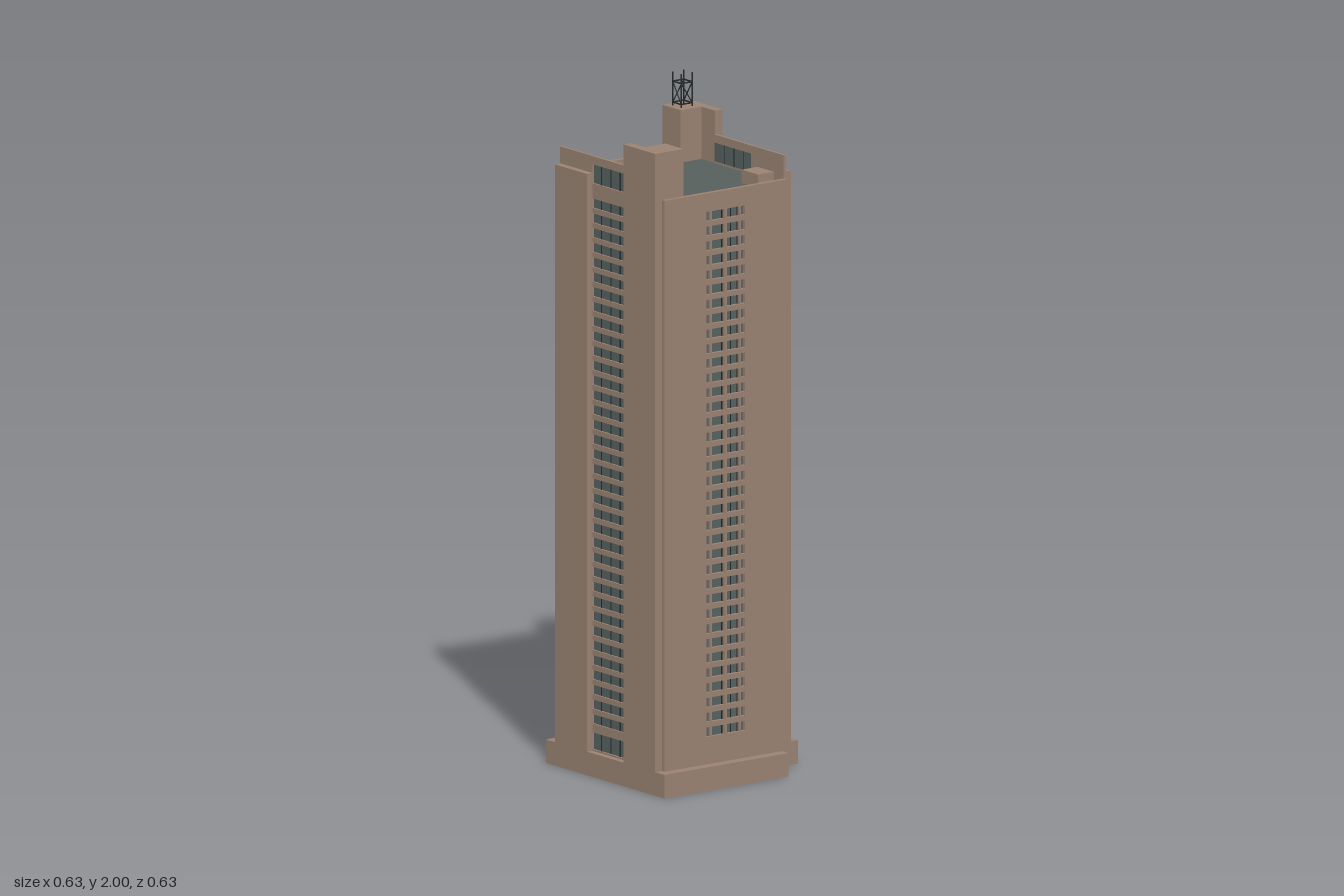
import * as THREE from 'three';
import { mergeGeometries } from 'three/addons/utils/BufferGeometryUtils.js';

const material = (name, color) => Object.assign(new THREE.MeshStandardMaterial({ color }), { name });

// Box given by its limits on each axis
function box(x0, x1, y0, y1, z0, z1) {
  return new THREE.BoxGeometry(x1 - x0, y1 - y0, z1 - z0)
    .translate((x0 + x1) / 2, (y0 + y1) / 2, (z0 + z1) / 2);
}

// Thin square bar between two points
function bar(a, b, t) {
  const p = new THREE.Vector3(...a), d = new THREE.Vector3(...b).sub(p);
  const g = new THREE.BoxGeometry(t, d.length(), t).translate(0, d.length() / 2, 0);
  g.applyQuaternion(new THREE.Quaternion().setFromUnitVectors(new THREE.Vector3(0, 1, 0), d.normalize()));
  return g.translate(p.x, p.y, p.z);
}

export function createModel() {
  const stone = material('stone', 0x9a8272);
  const glass = material('glass', 0x566260);
  const roofing = material('roofing', 0x565f5c);
  const steel = material('steel', 0x23292b);

  const model = new THREE.Group();
  model.name = 'tower';
  const site = new THREE.Group();
  site.name = 'turnedBuilding';
  site.rotation.y = 0.14;
  model.add(site);

  const add = (parent, name, mat, ...geos) => {
    const mesh = new THREE.Mesh(geos.length > 1 ? mergeGeometries(geos) : geos[0], mat);
    mesh.name = name;
    parent.add(mesh);
    return mesh;
  };

  // Base slab with one notched corner
  const BASE = 0.07, ROOF = 1.745;
  const outline = new THREE.Shape([
    [-0.278, -0.28], [0.172, -0.28], [0.172, -0.167], [0.293, -0.167], [0.293, 0.28], [-0.278, 0.28],
  ].map(([x, y]) => new THREE.Vector2(x, y)));
  add(site, 'baseSlab', stone,
    new THREE.ExtrudeGeometry(outline, { depth: BASE, bevelEnabled: false }).rotateX(-Math.PI / 2));

  const shaft = new THREE.Group();
  shaft.name = 'shaft';
  shaft.position.x = -0.032;
  site.add(shaft);
  add(shaft, 'core', stone, box(-0.219, 0.219, BASE, 1.74, -0.236, 0.236));
  add(shaft, 'roof', roofing, box(-0.219, 0.219, 1.74, ROOF, -0.236, 0.236));

  // Window rows, as [bottom, top]
  const rows = Array.from({ length: 36 }, (_, i) => {
    const y = 0.165 + i * 0.0436;
    return [y - 0.014, y + 0.014];
  });
  // Solid strips left between the openings
  const strips = (openings, bottom, top) => {
    const edges = [bottom, ...openings.flat(), top];
    return openings.concat([0]).map((_, i) => [edges[2 * i], edges[2 * i + 1]]);
  };

  // The shaft repeats after half a turn
  for (let k = 0; k < 2; k++) {
    const half = new THREE.Group();
    half.name = k ? 'backHalf' : 'frontHalf';
    half.rotation.y = k * Math.PI;
    shaft.add(half);

    // Wide wall with a central column of windows
    const z0 = 0.236, z1 = 0.25, W = 0.07;
    add(half, 'wideWall', stone,
      box(-0.222, -W, BASE, 1.76, z0, z1),
      box(W, 0.224, BASE, 1.76, z0, z1),
      ...strips(rows, BASE, 1.76).map(([a, b]) => box(-W, W, a, b, z0, z1)));
    add(half, 'wideWallMullions', stone,
      box(-0.005, 0.005, 0.15, 1.71, z0, z1),
      ...[-0.053, 0.053].map(x => box(x - 0.003, x + 0.003, 0.15, 1.71, z0, z1 - 0.001)));
    add(half, 'wideWallGlass', glass, box(-W, W, 0.14, 1.72, z0, 0.24));
    add(half, 'windowFrames', steel,
      ...[-0.047, -0.008, 0.008, 0.024, 0.047].map(x => box(x - 0.001, x + 0.001, 0.151, 1.705, 0.24, 0.243)));

    // Narrow side: banded windows between corner piers
    const bands = [[0.075, 0.125], ...rows, [1.75, 1.806]];
    add(half, 'sideBands', stone,
      ...strips(bands, BASE, 1.83).map(([a, b]) => box(0.217, 0.227, a, b, -0.088, 0.086)));
    add(half, 'sideGlass', glass, box(0.2185, 0.2215, 0.072, 1.81, -0.088, 0.086));
    add(half, 'sideMullions', steel,
      ...[-0.04, 0.004, 0.048].map(z => box(0.218, 0.2235, 0.075, 1.806, z - 0.0015, z + 0.0015)));
    add(half, 'sideParapet', stone, box(0.217, 0.226, 1.7, 1.83, 0.086, 0.24));

    // Low pier on one corner, tall L-shaped pier on the other
    add(half, 'lowPier', stone, box(0.219, 0.247, BASE, 1.78, 0.086, 0.237));
    add(half, 'tallPier', stone,
      box(0.219, 0.247, BASE, 1.9, -0.238, -0.088),
      box(0.144, 0.219, 1.7, 1.9, -0.238, -0.152));
    add(half, 'roofBlock', stone, box(0.127, 0.185, 1.74, 1.785, 0.159, 0.236));
  }

  // Lattice mast on the back tall pier
  const r = 0.02, t = 0.0035, bars = [];
  const corners = [[-r, -r], [r, -r], [r, r], [-r, r]];
  corners.forEach(([x, z], i) => {
    const [u, w] = corners[(i + 1) % 4];
    bars.push(bar([x, 1.9, z], [x, 2, z], t));
    for (const y of [1.91, 1.972]) bars.push(bar([x, y, z], [u, y, w], t));
    bars.push(bar([x, 1.91, z], [u, 1.972, w], 0.0025));
  });
  add(site, 'mast', steel, ...bars).position.set(0.151, 0, -0.194);

  return model;
}
